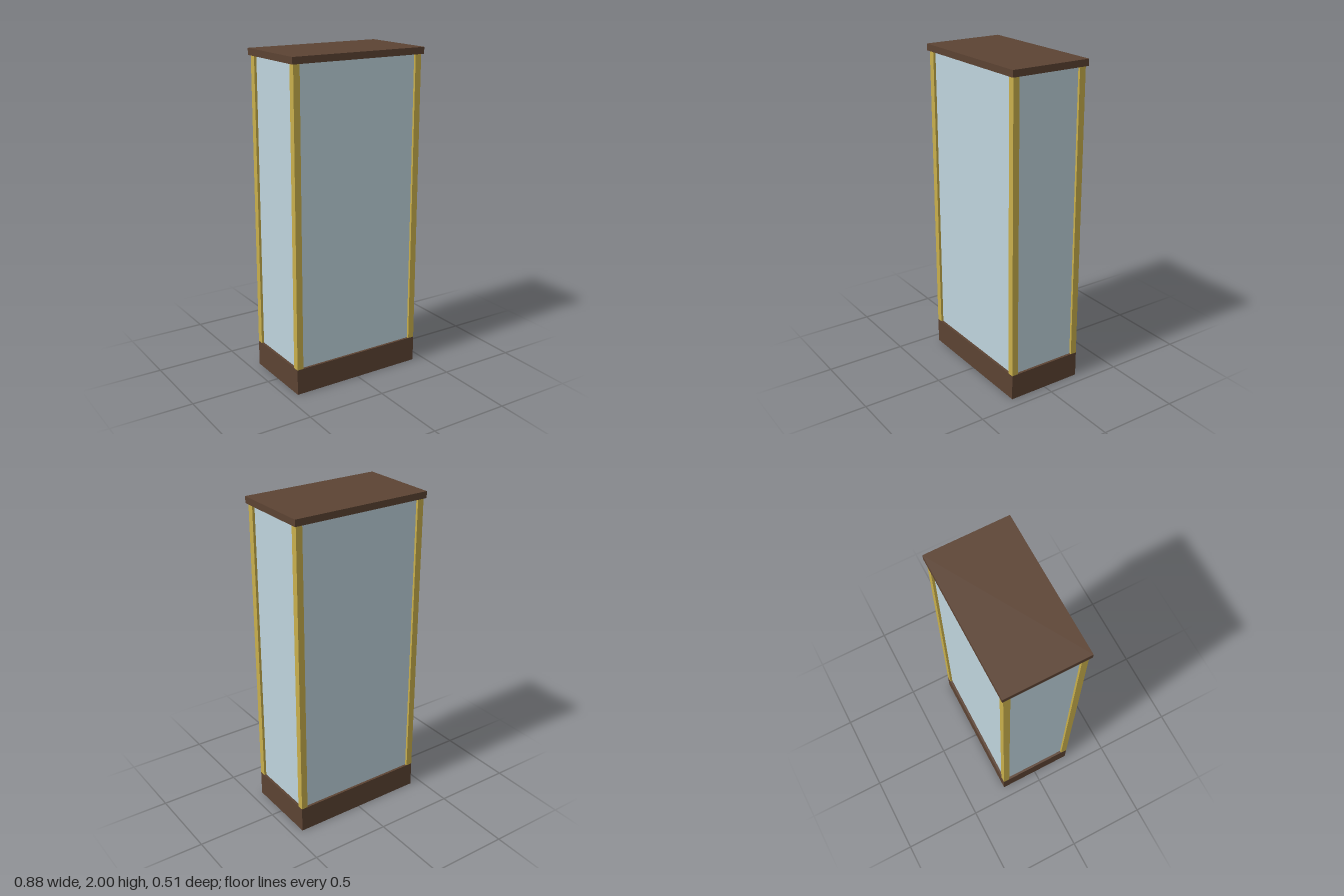
import * as THREE from 'three';

export function createModel() {
  const model = new THREE.Group();
  model.name = 'displayCabinet';
  const wood = new THREE.MeshStandardMaterial({ color: 0x5c4333 });
  const brass = new THREE.MeshStandardMaterial({ color: 0xc9b04c });
  const glass = new THREE.MeshStandardMaterial({ color: 0xbfd4dd });

  const halfW = 0.43, halfD = 0.242;      // cabinet footprint
  const bottom = 0.16, top = 1.96;        // glazed section
  const post = 0.04, recess = 0.015, pane = 0.01;
  const midY = (bottom + top) / 2, height = top - bottom;

  function box(name, material, w, h, d, x, y, z) {
    const mesh = new THREE.Mesh(new THREE.BoxGeometry(w, h, d), material);
    mesh.name = name;
    mesh.position.set(x, y, z);
    model.add(mesh);
  }

  // Plinth and overhanging lid
  box('base', wood, halfW * 2, bottom, halfD * 2, 0, bottom / 2, 0);
  box('lid', wood, 0.884, 2 - top, 0.508, 0, (top + 2) / 2, 0);

  // Corner posts
  for (const sx of [-1, 1]) {
    for (const sz of [-1, 1]) {
      const name = (sz > 0 ? 'front' : 'back') + (sx > 0 ? 'Left' : 'Right') + 'Post';
      box(name, brass, post, height, post, sx * (halfW - post / 2), midY, sz * (halfD - post / 2));
    }
  }

  // Recessed glass panes between the posts
  for (const s of [-1, 1]) {
    box(s > 0 ? 'frontPane' : 'backPane', glass,
      2 * (halfW - post), height, pane, 0, midY, s * (halfD - recess - pane / 2));
    box(s > 0 ? 'leftPane' : 'rightPane', glass,
      pane, height, 2 * (halfD - post), s * (halfW - recess - pane / 2), midY, 0);
  }
  return model;
}
